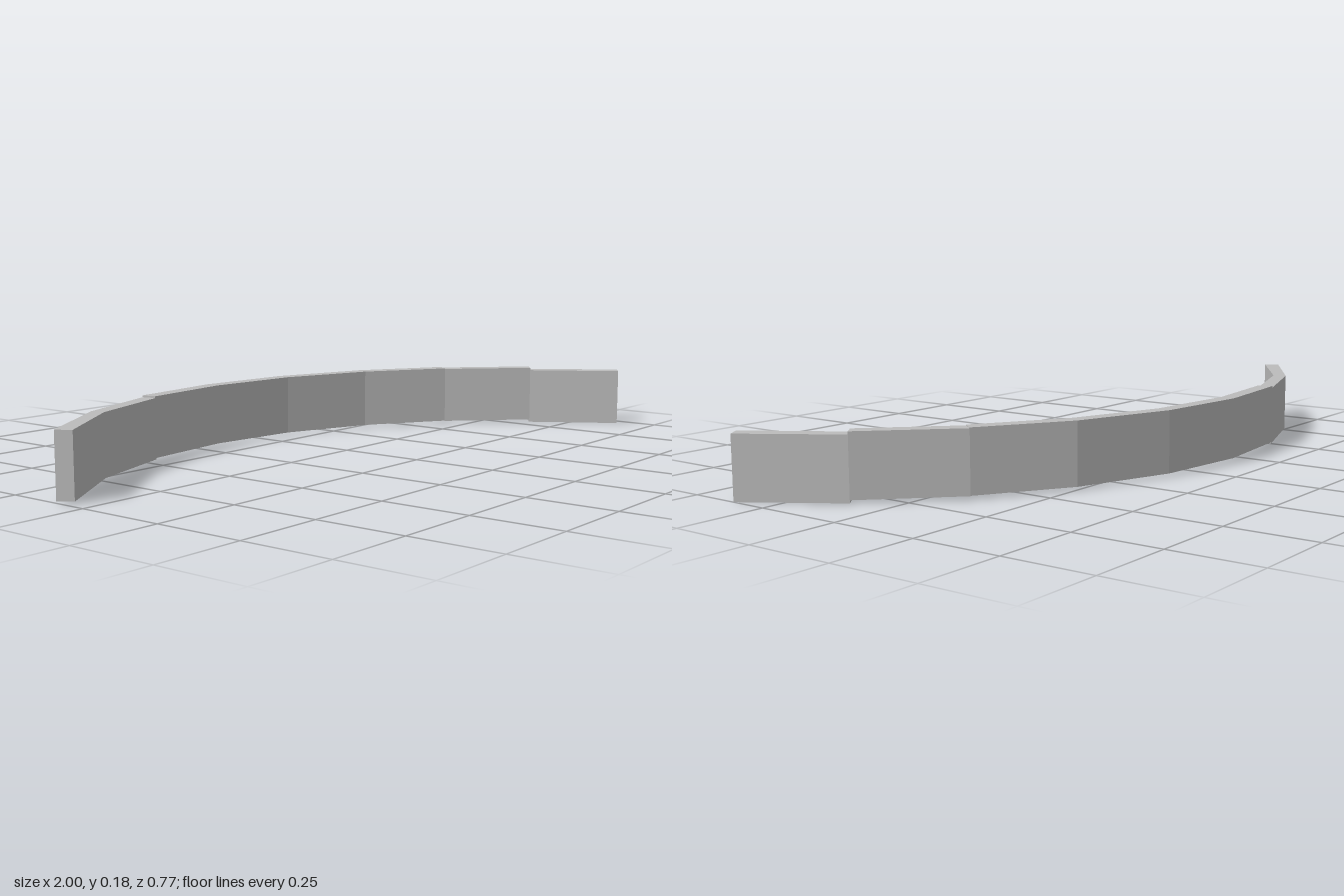
import * as THREE from 'three';

// Joints along the curve: outer x, z then inner x, z
const JOINTS = [
  [-1, -0.095, -0.975, -0.057],
  [-0.748, -0.255, -0.735, -0.218],
  [-0.475, -0.352, -0.467, -0.31],
  [-0.185, -0.384, -0.185, -0.341],
  [0.105, -0.352, 0.097, -0.31],
  [0.387, -0.252, 0.367, -0.213],
  [0.63, -0.098, 0.603, -0.062],
  [0.84, 0.114, 0.806, 0.141],
  [1, 0.358, 0.96, 0.384],
];

// Bottom and top of each panel; neighbours sit at slightly different heights
const LEVELS = [
  [0.005, 0.178], [0.005, 0.178], [0.009, 0.183], [0.009, 0.183],
  [0.009, 0.183], [0.009, 0.183], [0.008, 0.181], [0, 0.173],
];

export function createModel() {
  const wall = new THREE.Group();
  wall.name = 'curvedWall';
  const grey = new THREE.MeshStandardMaterial({ color: 0xbcbcbc });
  grey.name = 'grey';

  // One mitred upright panel between each pair of joints
  LEVELS.forEach(([bottom, top], i) => {
    const [ax, az, bx, bz] = JOINTS[i];
    const [cx, cz, dx, dz] = JOINTS[i + 1];
    const plan = new THREE.Shape([
      new THREE.Vector2(bx, -bz),
      new THREE.Vector2(dx, -dz),
      new THREE.Vector2(cx, -cz),
      new THREE.Vector2(ax, -az),
    ]);
    const geometry = new THREE.ExtrudeGeometry(plan, { depth: top - bottom, bevelEnabled: false });
    geometry.rotateX(-Math.PI / 2);
    geometry.translate(0, bottom, 0);
    const panel = new THREE.Mesh(geometry, grey);
    panel.name = `wallPanel${i + 1}`;
    wall.add(panel);
  });
  return wall;
}
